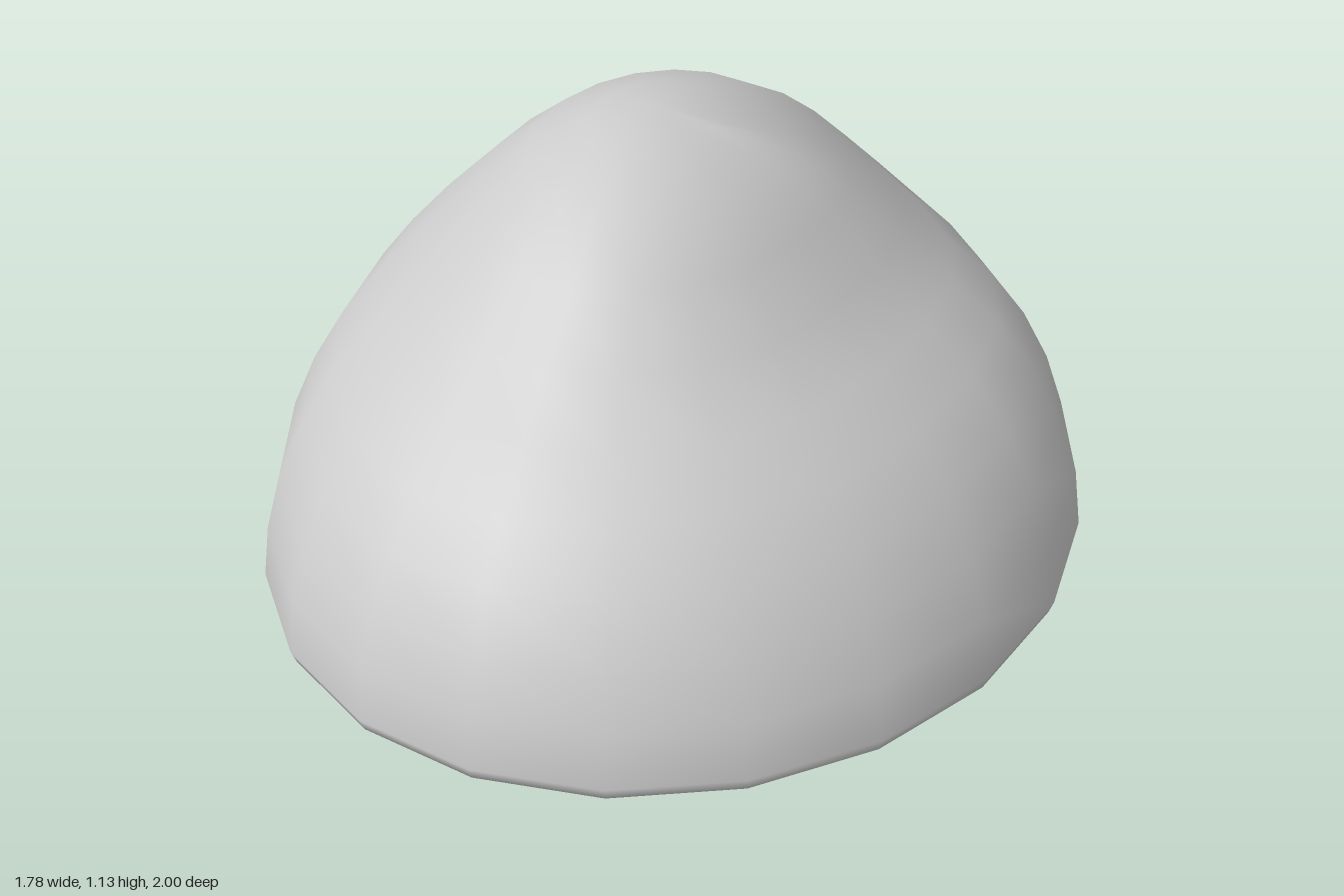
import * as THREE from 'three';

const SEGMENTS = 20;
const RX = 0.88, RZ = 0.975, CX = 0.01, CZ = 0.025, RIM = 0.2;

// Upper rings from the crown down to the rim, 9 degrees apart: [height, lean to the right, lean to the back]
const RINGS = [
  [1.13, 0.19, 0.125],
  [1.108, 0.18, 0.125],
  [1.047, 0.18, 0.13],
  [0.945, 0.18, 0.14],
  [0.82, 0.195, 0.155],
  [0.72, 0.17, 0.135],
  [0.63, 0.135, 0.115],
  [0.53, 0.097, 0.09],
  [0.42, 0.065, 0.064],
  [0.31, 0.03, 0.035],
  [RIM, 0, 0],
];

// Point on a squashed sphere; above the rim it leans right and back,
// more strongly towards the back and less so on the back left
function skinPoint(ring, j) {
  const polar = (ring * Math.PI) / 20;
  const angle = (j / SEGMENTS) * Math.PI * 2;
  const c = Math.cos(angle), s = Math.sin(angle);
  const x = RX * Math.sin(polar) * c, z = RZ * Math.sin(polar) * s;
  const [y, leanX, leanZ] = RINGS[ring] ?? [RIM * (1 + Math.cos(polar)), 0, 0];
  const hold = s < 0 ? 0.9 * s * s * Math.sqrt(Math.max(0, c)) : 0;
  const pull = (1 - 0.65 * z) * (1 - hold);
  return [CX + x - leanX * pull, y, CZ + z - leanZ * pull];
}

// Closed smooth skin with a single pole at each end
function moundGeometry() {
  const positions = [...skinPoint(0, 0)];
  const index = [];
  for (let ring = 1; ring < 20; ring++) {
    for (let j = 0; j < SEGMENTS; j++) positions.push(...skinPoint(ring, j));
  }
  positions.push(...skinPoint(20, 0));
  const bottom = positions.length / 3 - 1;
  const at = (ring, j) => 1 + (ring - 1) * SEGMENTS + (j % SEGMENTS);
  for (let j = 0; j < SEGMENTS; j++) {
    index.push(0, at(1, j + 1), at(1, j));
    for (let ring = 1; ring < 19; ring++) {
      index.push(at(ring, j), at(ring, j + 1), at(ring + 1, j));
      index.push(at(ring, j + 1), at(ring + 1, j + 1), at(ring + 1, j));
    }
    index.push(at(19, j), at(19, j + 1), bottom);
  }
  const geometry = new THREE.BufferGeometry();
  geometry.setAttribute('position', new THREE.Float32BufferAttribute(positions, 3));
  geometry.setIndex(index);
  geometry.computeVertexNormals();
  return geometry;
}

export function createModel() {
  const group = new THREE.Group();
  group.name = 'boulder';

  // Rounded mound with an off-centre hump and a shallow bowl underneath
  const mound = new THREE.Mesh(moundGeometry(), new THREE.MeshStandardMaterial({ color: 0xcccccc }));
  mound.name = 'mound';
  group.add(mound);
  return group;
}
